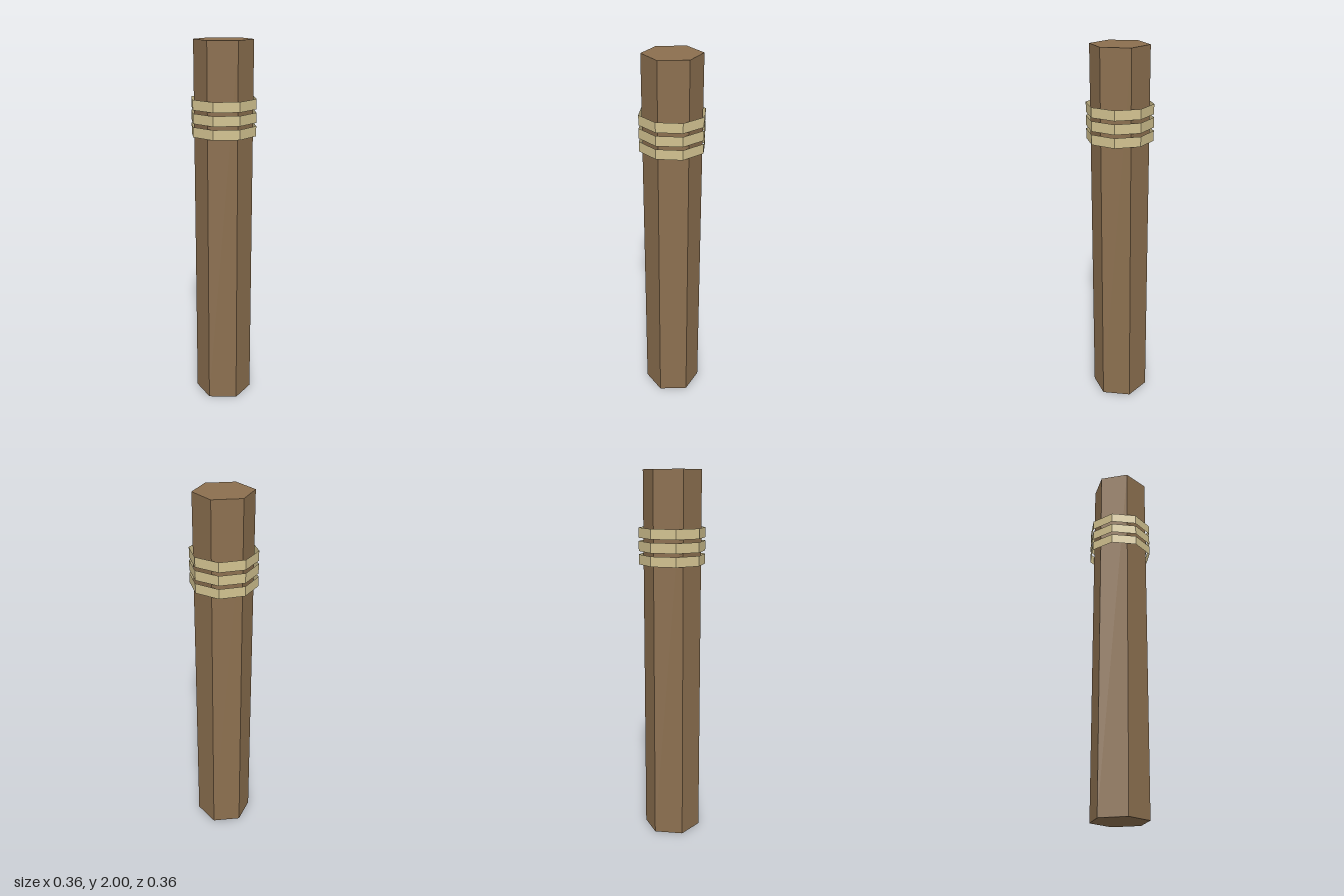
import * as THREE from 'three';

export function createModel() {
  const group = new THREE.Group();
  const wood = new THREE.MeshStandardMaterial({ color: 0x8b6f4f, flatShading: true });
  wood.name = 'brown wood';
  const rope = new THREE.MeshStandardMaterial({ color: 0xd2c290, flatShading: true, side: THREE.DoubleSide });
  rope.name = 'pale rope';

  // Six-sided post with an edge facing the front
  const post = new THREE.Mesh(new THREE.CylinderGeometry(0.155, 0.155, 2, 6), wood);
  post.name = 'post';
  post.position.y = 1;
  group.add(post);

  // Three thin open eight-sided rope bands near the top
  const bandGeometry = new THREE.CylinderGeometry(0.178, 0.178, 0.053, 8, 1, true);
  for (let i = 0; i < 3; i++) {
    const band = new THREE.Mesh(bandGeometry, rope);
    band.name = `ropeBand${i + 1}`;
    band.position.y = 1.538 + i * 0.07;
    group.add(band);
  }
  return group;
}
